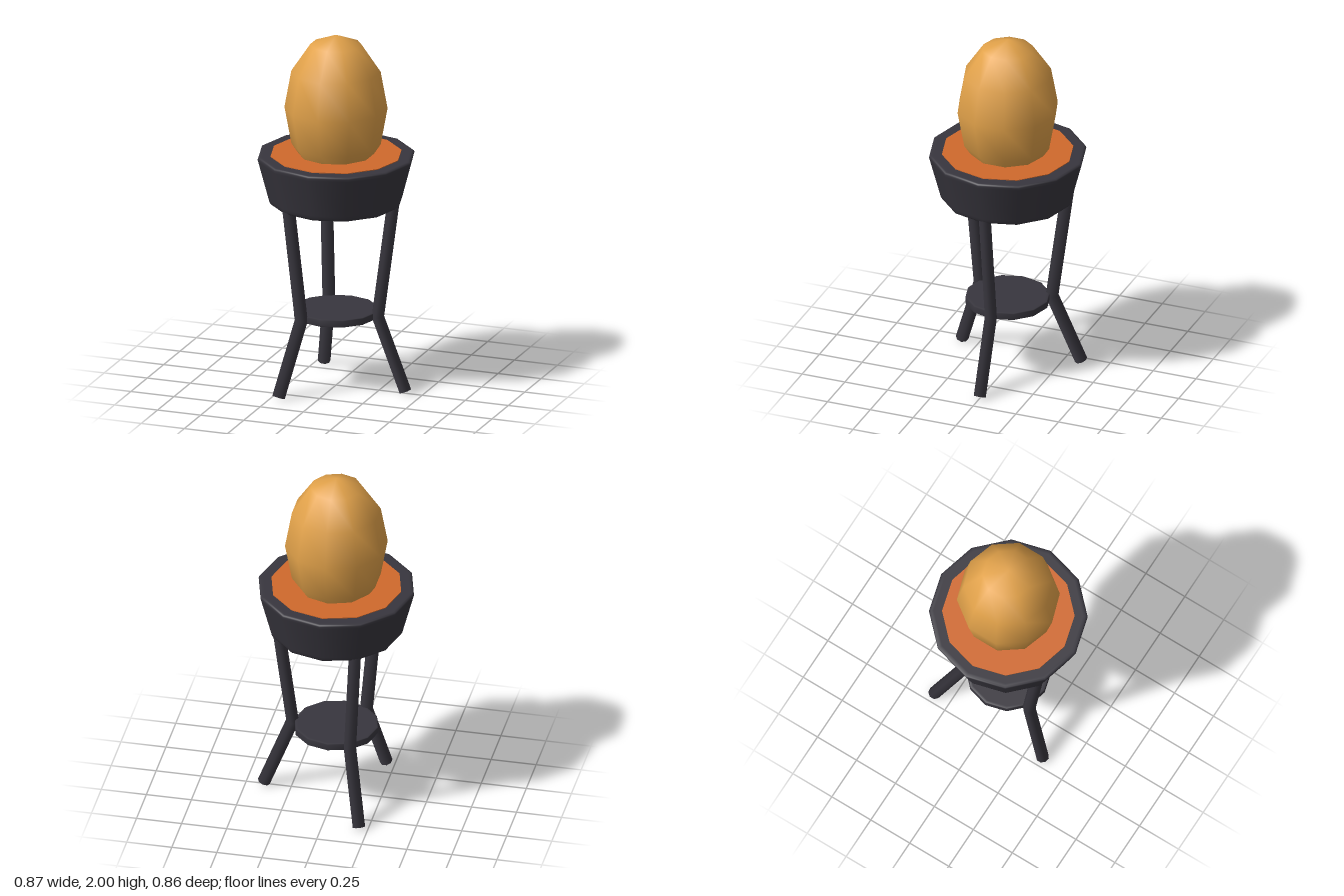
import * as THREE from 'three';

export function createModel() {
  const model = new THREE.Group();
  model.name = 'brazier';
  const material = (name, color) => {
    const m = new THREE.MeshStandardMaterial({ color });
    m.name = name;
    return m;
  };
  const iron = material('dark iron', 0x38363e);
  const ember = material('ember orange', 0xd0692c);
  const gold = material('flame gold', 0xe2a24a);

  const add = (name, geometry, mat, parent = model) => {
    const mesh = new THREE.Mesh(geometry, mat);
    mesh.name = name;
    parent.add(mesh);
    return mesh;
  };
  // Twelve-sided turned solid from [radius, height] pairs, bottom to top
  const turned = (profile) =>
    new THREE.LatheGeometry(profile.map(([r, y]) => new THREE.Vector2(r, y)), 12);

  // Bowl with softened edges; the extra points keep the flat areas flat
  add('bowl', turned([
    [0, 1.045], [0.33, 1.045], [0.345, 1.045], [0.358, 1.051], [0.366, 1.064], [0.37, 1.08],
    [0.427, 1.295], [0.431, 1.31], [0.428, 1.318], [0.418, 1.321], [0.405, 1.321], [0, 1.321],
  ]), iron);

  // Ember bed, level with the rim
  const bed = add('emberBed', new THREE.CylinderGeometry(0.36, 0.36, 0.02, 12), ember);
  bed.position.y = 1.315;

  // Faceted egg-shaped flame sunk into the bed
  const flame = add('flame', new THREE.SphereGeometry(1, 10, 6).rotateY(Math.PI / 2), gold);
  flame.scale.set(0.28, 0.415, 0.28);
  flame.position.y = 1.585;

  // Lower shelf disc between the knees
  add('shelf', turned([
    [0, 0.402], [0.215, 0.402], [0.228, 0.402], [0.232, 0.406],
    [0.232, 0.438], [0.228, 0.442], [0.215, 0.442], [0, 0.442],
  ]), iron);

  // Bent leg: a cylinder whose three rings move to foot, knee and top
  const legGeometry = () => {
    const radius = 0.035;
    const rings = [
      { x: 0.402, y: 0.013, tilt: 0.366, stretch: 1 },
      { x: 0.243, y: 0.42, tilt: 0.11, stretch: 1.03 },
      { x: 0.338, y: 1.12, tilt: -0.135, stretch: 1 },
    ];
    const g = new THREE.CylinderGeometry(radius, radius, 2, 8, 2);
    const p = g.attributes.position;
    for (let i = 0; i < p.count; i++) {
      const ring = rings[Math.round(p.getY(i)) + 1];
      const across = p.getX(i) * ring.stretch;
      p.setXYZ(i,
        ring.x + across * Math.cos(ring.tilt),
        ring.y + across * Math.sin(ring.tilt),
        p.getZ(i));
    }
    return g;
  };
  const legs = new THREE.Group();
  legs.name = 'legs';
  model.add(legs);
  const leg = legGeometry();
  for (let i = 0; i < 3; i++) {
    add(`leg${i + 1}`, leg, iron, legs).rotation.y = (i * Math.PI * 2) / 3;
  }

  return model;
}
